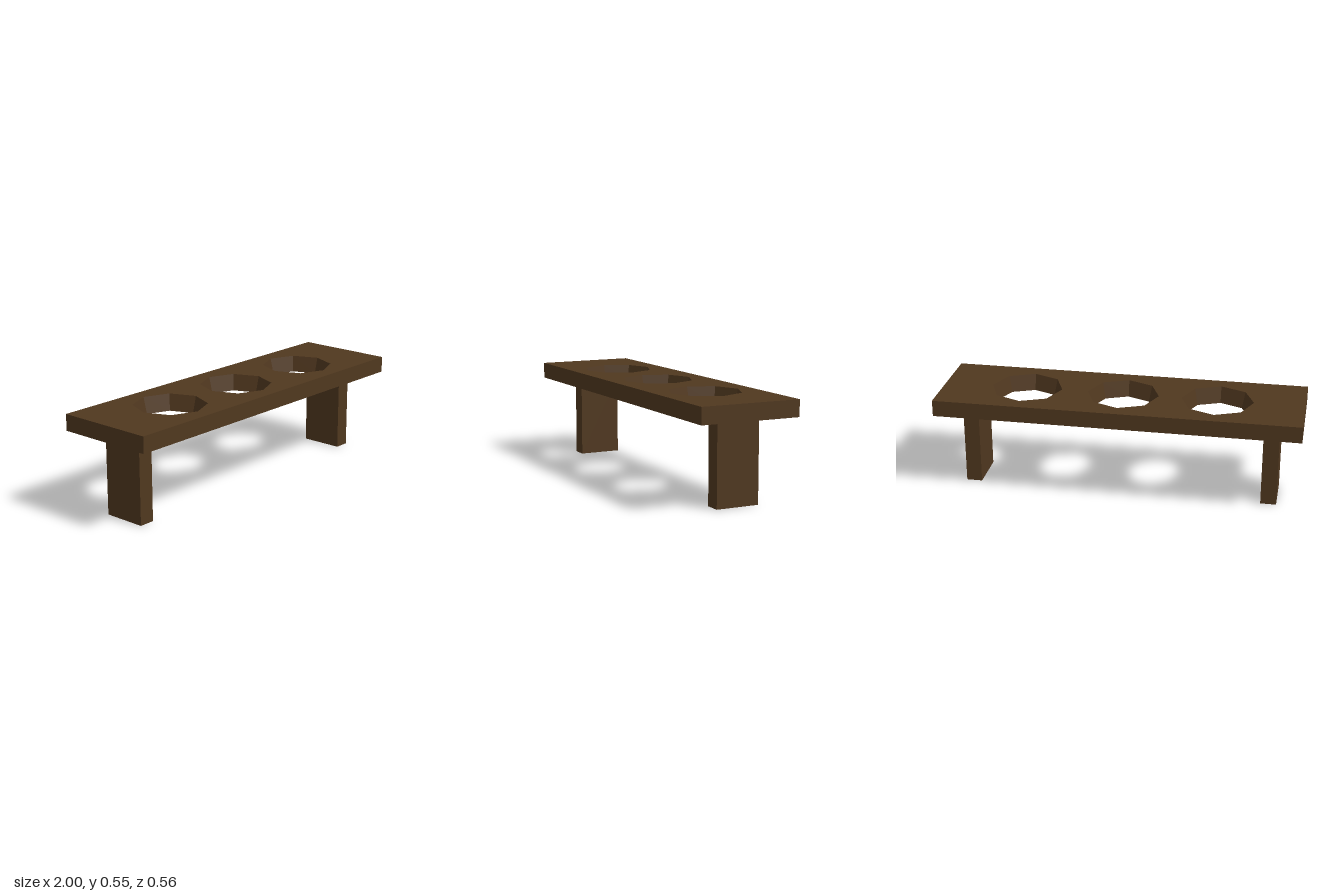
import * as THREE from 'three';

const LEG_HEIGHT = 0.455, THICKNESS = 0.09;
const HOLE_X = [-0.525, -0.005, 0.535];
const HOLE_TOP = 0.197, HOLE_BOTTOM = 0.174;

// Plank with octagonal holes that narrow towards the underside
function plankGeometry() {
  const w = 1, d = 0.278;
  const shape = new THREE.Shape([[-w, -d], [w, -d], [w, d], [-w, d]].map(p => new THREE.Vector2(...p)));
  for (const x of HOLE_X) {
    const points = [];
    for (let i = 0; i < 8; i++) {
      const a = -i * Math.PI / 4;
      points.push(new THREE.Vector2(x + HOLE_TOP * Math.cos(a), HOLE_TOP * Math.sin(a)));
    }
    shape.holes.push(new THREE.Path(points));
  }
  const geometry = new THREE.ExtrudeGeometry(shape, { depth: THICKNESS, bevelEnabled: false });

  // Pull the lower rim of each hole inwards
  const pos = geometry.attributes.position;
  const k = HOLE_BOTTOM / HOLE_TOP;
  for (let i = 0; i < pos.count; i++) {
    if (pos.getZ(i) > THICKNESS / 2) continue;
    const x = pos.getX(i), y = pos.getY(i);
    const cx = HOLE_X.find(c => Math.hypot(x - c, y) < HOLE_TOP + 0.01);
    if (cx !== undefined) pos.setXY(i, cx + (x - cx) * k, y * k);
  }
  geometry.rotateX(-Math.PI / 2);
  geometry.computeVertexNormals();
  return geometry;
}

export function createModel() {
  const group = new THREE.Group();
  group.name = 'bench';
  const wood = new THREE.MeshStandardMaterial({ color: 0x50381f, flatShading: true });

  const plank = new THREE.Mesh(plankGeometry(), wood);
  plank.name = 'topPlank';
  plank.position.y = LEG_HEIGHT;
  group.add(plank);

  // Slab legs near each end
  const legGeometry = new THREE.BoxGeometry(0.087, LEG_HEIGHT, 0.24);
  for (const side of [1, -1]) {
    const leg = new THREE.Mesh(legGeometry, wood);
    leg.name = side > 0 ? 'leftLeg' : 'rightLeg';
    leg.position.set(side * 0.833, LEG_HEIGHT / 2, 0);
    group.add(leg);
  }
  return group;
}
